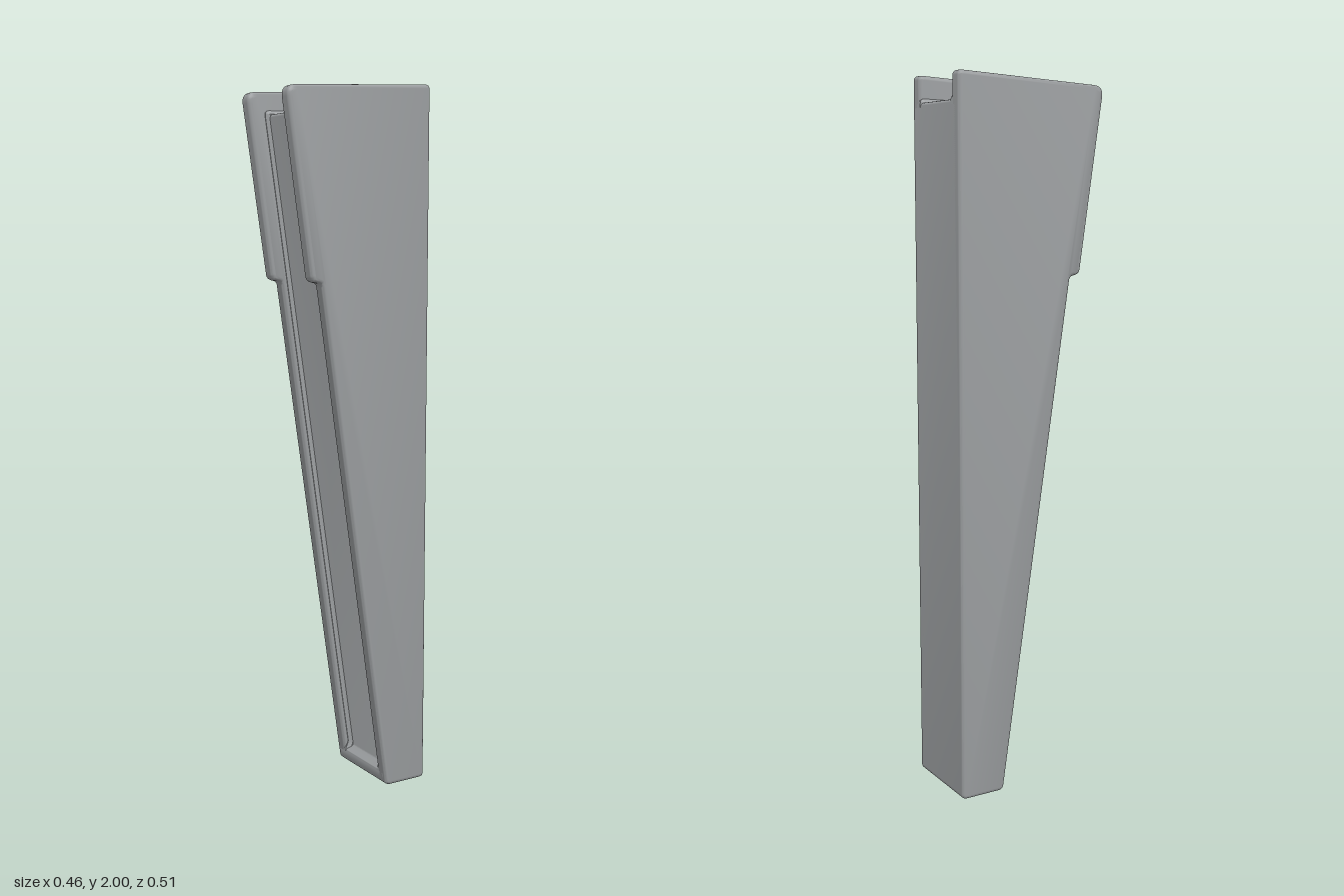
import * as THREE from 'three';
import { toCreasedNormals } from 'three/addons/utils/BufferGeometryUtils.js';

const WIDTH = 0.265, DEPTH = 0.454, RAIL = 0.044;

// Closed outline from [depth, height, cornerRadius] points
function roundedShape(points) {
  const shape = new THREE.Shape();
  points.forEach(([x, y, r], i) => {
    const p = new THREE.Vector2(x, y);
    const toward = (q) => new THREE.Vector2(q[0], q[1]).sub(p).setLength(r).add(p);
    const a = toward(points[(i + points.length - 1) % points.length]);
    const b = toward(points[(i + 1) % points.length]);
    if (i === 0) shape.moveTo(a.x, a.y); else shape.lineTo(a.x, a.y);
    shape.quadraticCurveTo(x, y, b.x, b.y);
  });
  return shape;
}

// Side profile extruded across the width, centred on x
function plate(points, width, bevel, segments) {
  const geo = new THREE.ExtrudeGeometry(roundedShape(points), {
    depth: width - 2 * bevel, curveSegments: 5,
    bevelEnabled: bevel > 0, bevelThickness: bevel, bevelSize: bevel,
    bevelOffset: -bevel, bevelSegments: segments,
  });
  geo.translate(-DEPTH / 2, 0, bevel - width / 2);
  geo.rotateY(-Math.PI / 2);
  return toCreasedNormals(geo, 0.6);
}

// Sloping front edge: depth at height y
const front = (y, offset = 0) => 0.133 + 0.1476 * y + offset;

export function createModel() {
  const group = new THREE.Group();
  group.name = 'taperedLeg';
  const grey = new THREE.MeshStandardMaterial({ color: 0x9b9ea0 });
  grey.name = 'grey';

  const add = (name, geo, x = 0) => {
    const mesh = new THREE.Mesh(geo, grey);
    mesh.name = name;
    mesh.position.x = x;
    group.add(mesh);
  };

  // Side rails, stepped forward near the top
  const railProfile = [
    [0, 0, 0.014], [front(0), 0, 0.016],
    [front(1.46), 1.46, 0.01], [front(1.467, 0.03), 1.467, 0.014],
    [front(1.975, 0.03), 1.975, 0.03], [0, 2, 0.014],
  ];
  // Core with a raised lip at the foot and a recessed front panel
  const coreProfile = (raise) => [
    [0, 0, 0.014], [front(0), 0, 0.016],
    [front(0.04), 0.04, 0.006], [front(0.055 + raise, -0.024 + raise), 0.055 + raise, 0.004],
    [front(1.917, -0.024 + raise), 1.917 + raise, 0.014], [0, 1.928 + raise, 0.014],
  ];
  add('core', plate(coreProfile(0), WIDTH - 0.03, 0, 1));

  const cove = plate(coreProfile(0.01), 0.04, 0.01, 1);
  const rail = plate(railProfile, RAIL, 0.012, 4);
  for (const side of [-1, 1]) {
    const label = side > 0 ? 'left' : 'right';
    add(label + 'Rail', rail, side * (WIDTH - RAIL) / 2);
    // Chamfer where the panel meets the rail
    add(label + 'Cove', cove, side * (WIDTH / 2 - RAIL + 0.008));
  }

  group.rotation.y = -0.593;
  const root = new THREE.Group();
  root.name = 'leg';
  root.add(group);
  return root;
}
